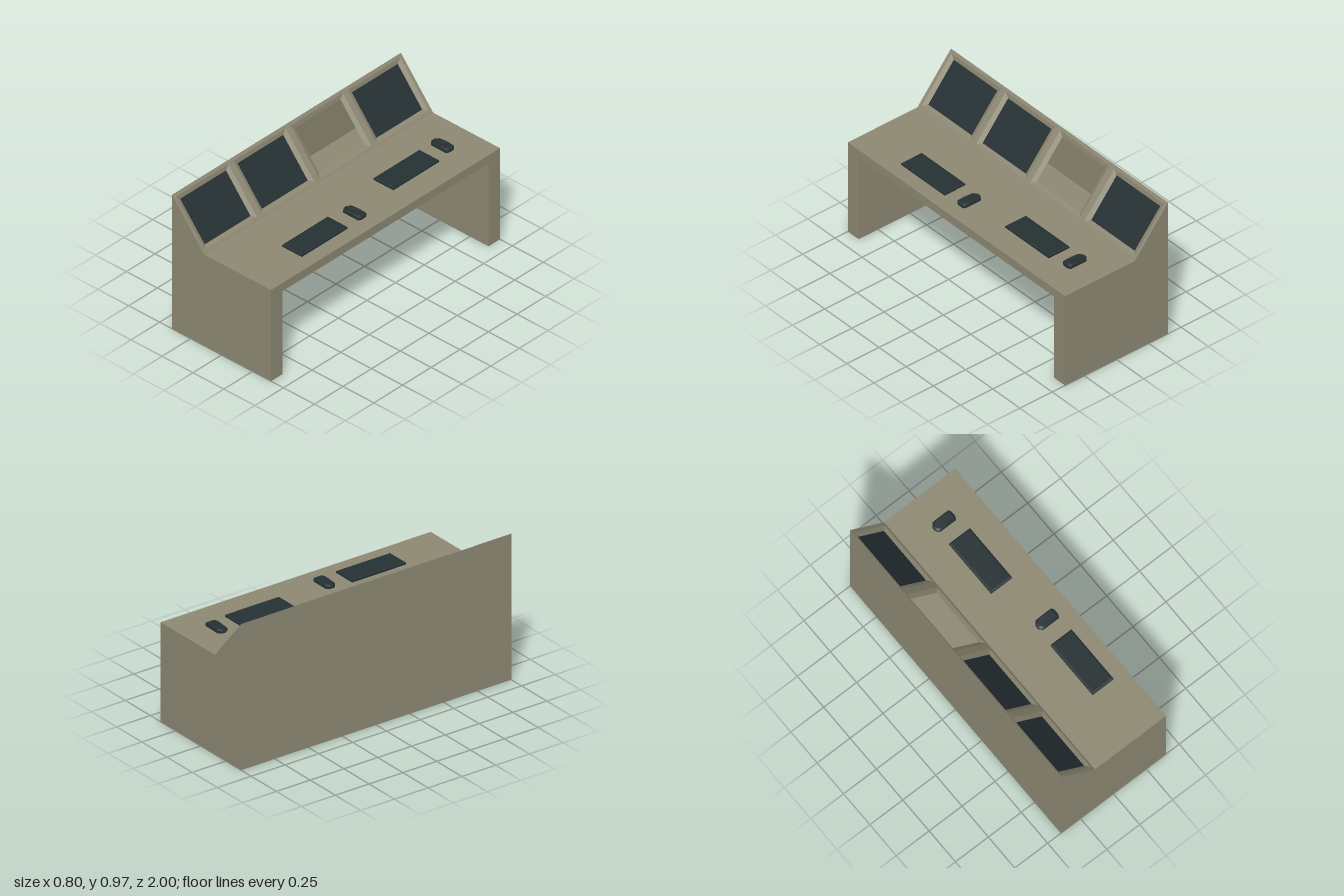
import * as THREE from 'three';

const paint = new THREE.MeshStandardMaterial({ color: 0x8c8772, side: THREE.DoubleSide });
paint.name = 'putty paint';
const dark = new THREE.MeshStandardMaterial({ color: 0x253033 });
dark.name = 'dark glass';

function add(parent, name, geometry, material) {
  const mesh = new THREE.Mesh(geometry, material);
  mesh.name = name;
  parent.add(mesh);
  return mesh;
}

// box given by its lower and upper corners
function block(parent, name, x0, x1, y0, y1, z0, z1) {
  const mesh = add(parent, name, new THREE.BoxGeometry(x1 - x0, y1 - y0, z1 - z0), paint);
  mesh.position.set((x0 + x1) / 2, (y0 + y1) / 2, (z0 + z1) / 2);
}

// flat-shaded skin through equal rings of [x, y, z], optionally capped on the last ring
function loft(rings, cap) {
  const pos = [];
  const tri = (a, b, c) => pos.push(...a, ...b, ...c);
  const n = rings[0].length;
  for (let r = 0; r + 1 < rings.length; r++) {
    for (let i = 0; i < n; i++) {
      const j = (i + 1) % n, lo = rings[r], hi = rings[r + 1];
      tri(lo[i], lo[j], hi[j]);
      tri(lo[i], hi[j], hi[i]);
    }
  }
  const top = rings[rings.length - 1];
  if (cap) for (let i = 1; i + 1 < n; i++) tri(top[0], top[i], top[i + 1]);
  const g = new THREE.BufferGeometry();
  g.setAttribute('position', new THREE.Float32BufferAttribute(pos, 3));
  g.computeVertexNormals();
  return g;
}

const rect = (w, h) => [[-w, -h], [w, -h], [w, h], [-w, h]];

function createDesk(group) {
  block(group, 'desktop', -0.14, 0.4, 0.6, 0.66, -1, 1);
  block(group, 'riserFloor', -0.4, -0.14, 0.6, 0.63, -1, 1);
  block(group, 'backPanel', -0.4, -0.32, 0, 0.6, -0.9, 0.9);
  block(group, 'riserBack', -0.4, -0.398, 0.6, 0.968, -1, 1);
  // riser end caps
  const cap = new THREE.Shape([[-0.4, 0.6], [-0.14, 0.6], [-0.14, 0.66], [-0.4, 0.97]]
    .map(([x, y]) => new THREE.Vector2(x, y)));
  for (const s of [-1, 1]) {
    block(group, s > 0 ? 'leftSidePanel' : 'rightSidePanel', -0.4, 0.4, 0, 0.6,
      Math.min(s, s * 0.9), Math.max(s, s * 0.9));
    const end = add(group, s > 0 ? 'leftRiserEnd' : 'rightRiserEnd', new THREE.ShapeGeometry(cap), paint);
    end.position.z = s;
  }
}

// sloping monitor bank, drawn flat and then tilted onto the riser
function createMonitorBank() {
  const bank = new THREE.Group();
  bank.name = 'monitorBank';
  const length = Math.hypot(0.26, 0.31);
  const slope = new THREE.Vector3(-0.26, 0.31, 0).normalize();
  const normal = new THREE.Vector3(0.31, 0.26, 0).normalize();
  bank.applyMatrix4(new THREE.Matrix4()
    .makeBasis(new THREE.Vector3(0, 0, -1), slope, normal)
    .setPosition(-0.14, 0.66, 0));

  const mid = 0.203, depth = -0.014;
  const face = new THREE.Shape([[-1, 0], [1, 0], [1, length], [-1, length]]
    .map(p => new THREE.Vector2(...p)));
  for (const u of [-0.75, -0.25, 0.25, 0.75]) {
    const outer = rect(0.228, 0.18).map(([a, b]) => [u + a, mid + b, 0]);
    const inner = rect(0.2, 0.154).map(([a, b]) => [u + a, mid + b, depth]);
    face.holes.push(new THREE.Path(outer.map(([a, b]) => new THREE.Vector2(a, b))));
    add(bank, 'screenBezel', loft([outer, inner], false), paint);
    // one bay is left empty
    if (u !== 0.25) {
      const screen = add(bank, 'screen', new THREE.BoxGeometry(0.4, 0.308, 0.004), dark);
      screen.position.set(u, mid, depth - 0.002);
    }
  }
  add(bank, 'monitorFrame', new THREE.ShapeGeometry(face), paint);
  return bank;
}

// bevelled slab keyboard
function keyboardGeometry() {
  const ring = (inset, y) => rect(0.08 - inset, 0.2 - inset).map(([x, d]) => [x, y, -d]);
  return loft([ring(0, 0), ring(0, 0.011), ring(0.012, 0.018)], true);
}

// faceted mouse with a pointed nose and raised hump
function mouseGeometry() {
  const outline = [[-0.075, -0.012], [-0.055, -0.036], [0.03, -0.036], [0.065, -0.036], [0.075, -0.02],
    [0.075, 0.02], [0.065, 0.036], [0.03, 0.036], [-0.055, 0.036], [-0.075, 0.012]];
  const ring = (s, y) => outline.map(([x, d]) => [x * s, y(x), -d * s]);
  const hump = x => (x > 0.04 ? 0.026 : 0.022 + (x + 0.075) * 0.07);
  return loft([ring(1, () => 0), ring(1, x => hump(x) - 0.009), ring(0.78, hump)], true);
}

export function createModel() {
  const group = new THREE.Group();
  group.name = 'controlConsole';
  createDesk(group);
  group.add(createMonitorBank());

  const keyboard = keyboardGeometry(), mouse = mouseGeometry();
  // two workstations: keyboard position and mouse position
  for (const [kx, kz, mx, mz] of [[0.152, -0.45, 0.135, -0.78], [0.222, 0.425, 0.225, 0.085]]) {
    add(group, 'keyboard', keyboard, dark).position.set(kx, 0.66, kz);
    add(group, 'mouse', mouse, dark).position.set(mx, 0.66, mz);
  }
  return group;
}
